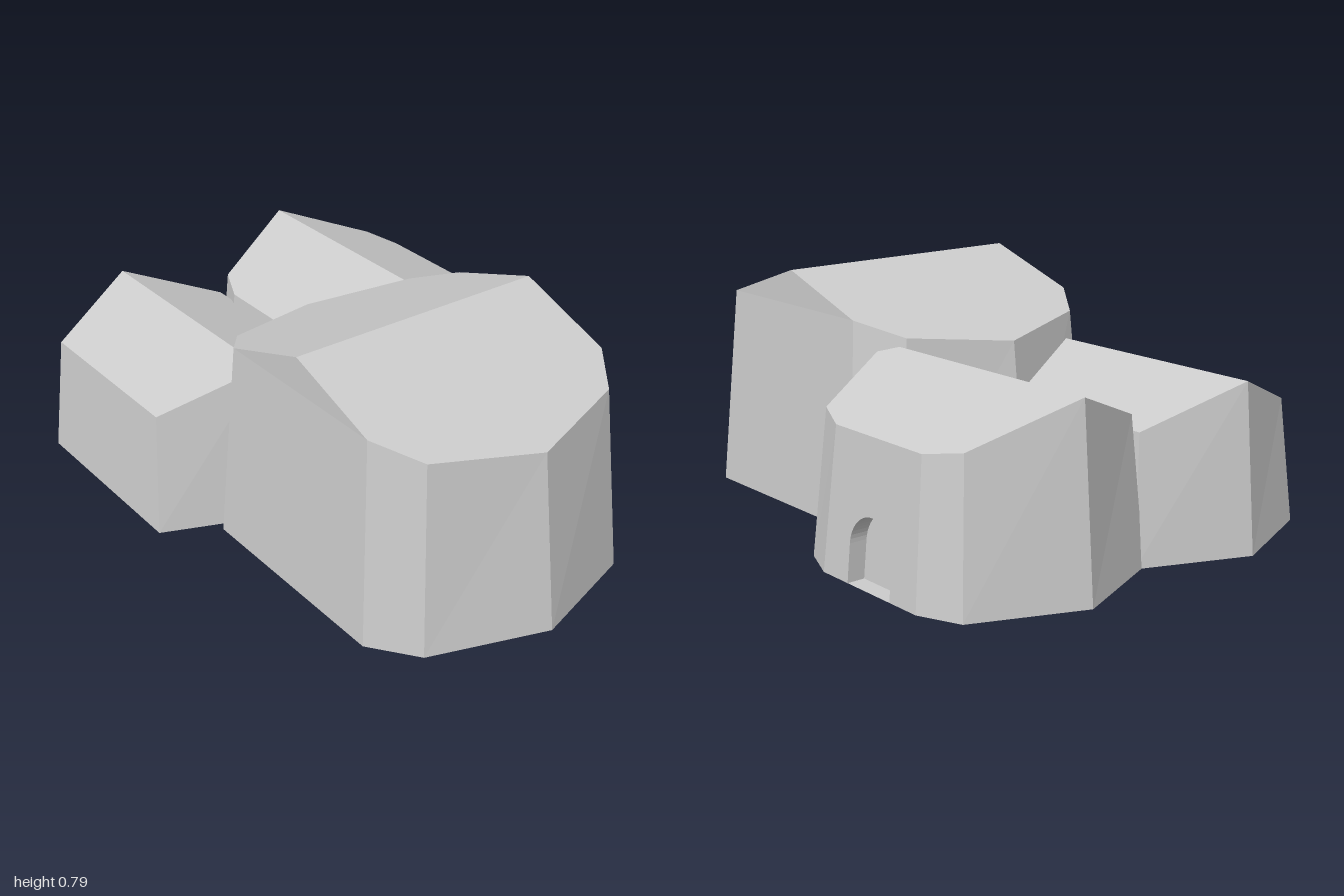
import * as THREE from 'three';

const material = new THREE.MeshStandardMaterial({ color: 0xcccccc, flatShading: true, side: THREE.DoubleSide });

function named(geometry, name) {
  const mesh = new THREE.Mesh(geometry, material);
  mesh.name = name;
  return mesh;
}

// Mirrors a quarter outline (tip first) into a full counter-clockwise ring
function ring(quarter, cx, cz) {
  const rest = quarter.slice(1);
  const back = [...rest].reverse();
  return [
    [quarter[0][0], 0], ...rest.map(([x, z]) => [x, -z]), ...back.map(([x, z]) => [-x, -z]),
    [-quarter[0][0], 0], ...rest.map(([x, z]) => [-x, z]), ...back.map(([x, z]) => [x, z]),
  ].map(([x, z]) => [x + cx, z + cz]);
}

// Tapered many-sided house with a two-slope roof; the ridge runs along x or z
function house({ name, cx, cz, base, top, ridgeY, slope, ridgeAlong, openBack }) {
  const n = base.length - 1;
  const count = 4 * n + 2;
  const positions = { walls: [], roof: [], floor: [] };
  const height = (x, z) => ridgeY - slope * Math.abs(ridgeAlong === 'x' ? z - cz : x - cx);
  const lower = ring(base, cx, cz).map(([x, z]) => [x, 0, z]);
  const upper = ring(top, cx, cz).map(([x, z]) => [x, height(x, z), z]);
  const fan = (part, points) => {
    for (let i = 1; i < points.length - 1; i++) {
      positions[part].push(...points[0], ...points[i], ...points[i + 1]);
    }
  };

  // Sloping walls
  for (let i = 0; i < count; i++) {
    const j = (i + 1) % count;
    if (!(openBack && i === n)) fan('walls', [lower[i], lower[j], upper[j], upper[i]]);
  }

  // Roof slopes, with upright gables where the ridge meets a straight wall
  if (ridgeAlong === 'x') {
    fan('roof', upper.slice(0, 2 * n + 2));
    fan('roof', [...upper.slice(2 * n + 1), upper[0]]);
  } else {
    const backPeak = [cx, ridgeY, upper[n][2]];
    const frontPeak = [cx, ridgeY, upper[3 * n + 1][2]];
    fan('roof', [backPeak, ...upper.slice(n + 1, 3 * n + 2), frontPeak]);
    fan('roof', [frontPeak, ...upper.slice(3 * n + 2), ...upper.slice(0, n + 1), backPeak]);
    fan('walls', [upper[n], upper[n + 1], backPeak]);
    fan('walls', [upper[3 * n + 1], upper[3 * n + 2], frontPeak]);
  }
  fan('floor', [...lower].reverse());

  const group = new THREE.Group();
  group.name = name;
  for (const [part, list] of Object.entries(positions)) {
    const geometry = new THREE.BufferGeometry();
    geometry.setAttribute('position', new THREE.Float32BufferAttribute(list, 3));
    geometry.computeVertexNormals();
    group.add(named(geometry, part));
  }
  return group;
}

// Back wall of the rear house with an arched, shallow doorway
function doorway() {
  const group = new THREE.Group();
  group.name = 'doorway';
  const radius = 0.1, spring = 0.12, depth = 0.06, wallTop = 0.452;

  const wall = new THREE.Shape();
  wall.moveTo(-0.22, 0);
  wall.lineTo(-radius, 0);
  wall.lineTo(-radius, spring);
  wall.absarc(0, spring, radius, Math.PI, 0, true);
  wall.lineTo(radius, 0);
  wall.lineTo(0.22, 0);
  wall.lineTo(0.2, wallTop);
  wall.lineTo(-0.2, wallTop);

  const panel = new THREE.Shape();
  panel.moveTo(-radius, 0);
  panel.lineTo(radius, 0);
  panel.lineTo(radius, spring);
  panel.absarc(0, spring, radius, 0, Math.PI, false);

  // Lean both pieces with the slope of the wall
  const lean = new THREE.Matrix4().set(
    1, 0, 0, -0.5,
    0, 1, 0, 0,
    0, 0.04 / wallTop, 1, -0.73,
    0, 0, 0, 1);
  const wallGeometry = new THREE.ExtrudeGeometry(wall, { depth, bevelEnabled: false, curveSegments: 12 });
  const panelGeometry = new THREE.ShapeGeometry(panel, 12).translate(0, 0, depth);
  group.add(named(wallGeometry.applyMatrix4(lean), 'archedWall'));
  group.add(named(panelGeometry.applyMatrix4(lean), 'doorPanel'));
  return group;
}

export function createModel() {
  const model = new THREE.Group();
  model.name = 'houseCluster';

  model.add(house({
    name: 'mainHouse', cx: 0.34, cz: 0.045, ridgeY: 0.79, slope: 0.339, ridgeAlong: 'z',
    base: [[0.66, 0], [0.53, 0.387], [0.38, 0.498]],
    top: [[0.59, 0], [0.48, 0.35], [0.34, 0.452]],
  }));
  model.add(house({
    name: 'rearHouse', cx: -0.5, cz: -0.32, ridgeY: 0.6, slope: 0.4, ridgeAlong: 'x', openBack: true,
    base: [[0.5, 0], [0.355, 0.353], [0.22, 0.41]],
    top: [[0.45, 0], [0.32, 0.32], [0.2, 0.37]],
  }));
  model.add(house({
    name: 'frontHouse', cx: -0.5, cz: 0.36, ridgeY: 0.54, slope: 0.4, ridgeAlong: 'x',
    base: [[0.5, 0], [0.353, 0.362]],
    top: [[0.45, 0], [0.32, 0.325]],
  }));
  model.add(doorway());
  return model;
}
